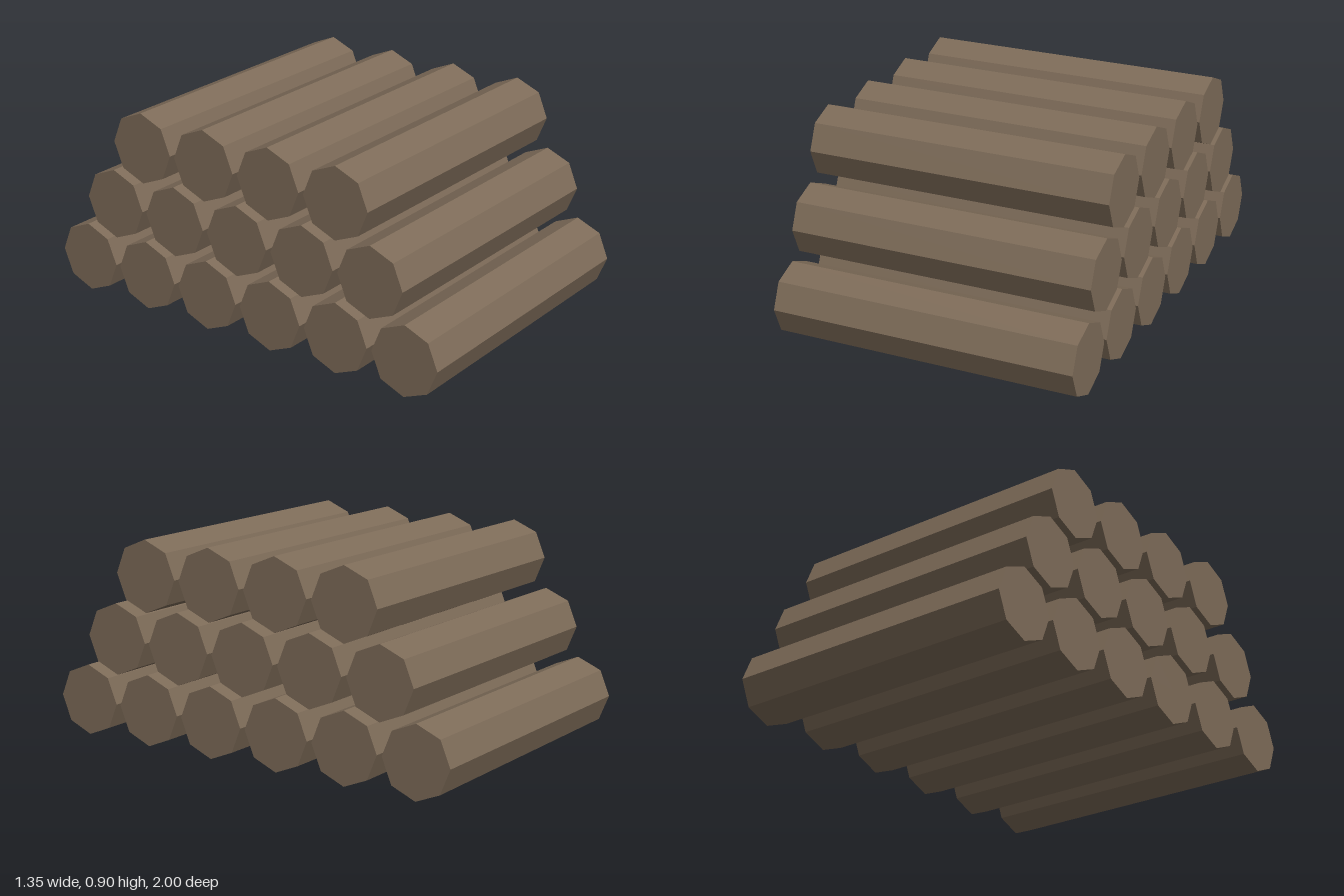
import * as THREE from 'three';

const RADIUS = 0.157;
const LENGTH = 1.345;
const SPACING = 0.337; // between neighbouring logs in a row
const ROW_STEP = 0.292; // height from one row to the next

export function createModel() {
  const group = new THREE.Group();
  group.name = 'logPile';

  const bark = new THREE.MeshStandardMaterial({ color: 0x7d6b58 });
  bark.name = 'brown wood';
  bark.flatShading = true;

  // Eight-sided log lying along x, with a corner pointing straight up
  const logGeometry = new THREE.CylinderGeometry(RADIUS, RADIUS, LENGTH, 8);
  logGeometry.rotateZ(Math.PI / 2);

  // Rows of 6, 5 and 4 logs, each resting in the gaps of the row below
  [6, 5, 4].forEach((count, row) => {
    const layer = new THREE.Group();
    layer.name = `logRow${row + 1}`;
    layer.position.y = RADIUS + row * ROW_STEP;
    for (let i = 0; i < count; i++) {
      const log = new THREE.Mesh(logGeometry, bark);
      log.name = `log${i + 1}`;
      log.position.z = (i - (count - 1) / 2) * SPACING;
      layer.add(log);
    }
    group.add(layer);
  });

  return group;
}
